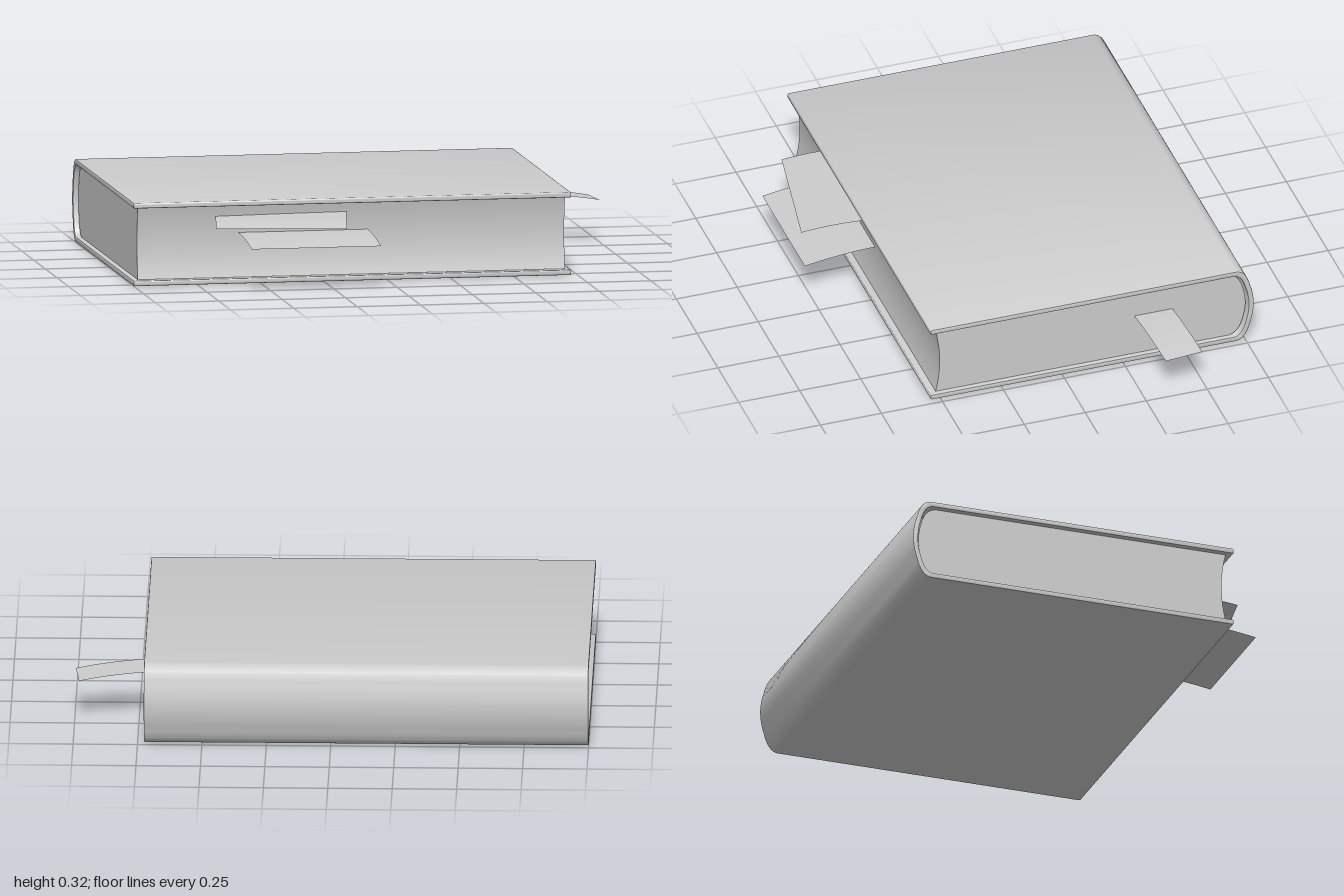
import * as THREE from 'three';
import { toCreasedNormals } from 'three/addons/utils/BufferGeometryUtils.js';

const grey = new THREE.MeshStandardMaterial({ color: 0xcccccc });
grey.name = 'plain grey';
grey.side = THREE.DoubleSide;

// Extrude a side profile (u = -z, y) along x between two ends
function extrudeAlongX(name, shape, x0, x1, bevel) {
  const geo = new THREE.ExtrudeGeometry(shape, {
    depth: x1 - x0 - 2 * bevel,
    curveSegments: 14,
    bevelEnabled: bevel > 0,
    bevelThickness: bevel,
    bevelSize: bevel,
    bevelOffset: -bevel,
    bevelSegments: 2,
  });
  geo.rotateY(Math.PI / 2);
  geo.translate(x0 + bevel, 0, 0);
  const mesh = new THREE.Mesh(toCreasedNormals(geo, 0.5), grey);
  mesh.name = name;
  return mesh;
}

// Thin sheet leaving the pages at (x, z) and drooping from y0 to y1 at its tip
function sheet(name, width, length, x, z, angle, y0, y1) {
  const geo = new THREE.PlaneGeometry(width, length, 1, 14);
  geo.rotateX(-Math.PI / 2);
  geo.translate(0, 0, length / 2);
  const pos = geo.attributes.position;
  for (let i = 0; i < pos.count; i++) {
    const t = pos.getZ(i) / length;
    pos.setY(i, y0 + (y1 - y0) * t * t);
  }
  geo.computeVertexNormals();
  const mesh = new THREE.Mesh(geo, grey);
  mesh.name = name;
  mesh.position.set(x, 0, z);
  mesh.rotation.y = angle;
  return mesh;
}

// Wrap-around cover with a rounded spine and softened fore edges
function coverShape() {
  const s = new THREE.Shape();
  s.moveTo(-0.532, 0);
  s.lineTo(0.71, 0);
  s.quadraticCurveTo(0.752, 0, 0.77, 0.075);
  s.quadraticCurveTo(0.8, 0.1625, 0.77, 0.25);
  s.quadraticCurveTo(0.752, 0.325, 0.71, 0.325);
  s.lineTo(-0.532, 0.325);
  s.quadraticCurveTo(-0.54, 0.325, -0.54, 0.317);
  s.lineTo(-0.54, 0.31);
  s.quadraticCurveTo(-0.54, 0.304, -0.534, 0.304);
  s.lineTo(0.7, 0.304);
  s.quadraticCurveTo(0.735, 0.304, 0.75, 0.245);
  s.quadraticCurveTo(0.778, 0.1625, 0.75, 0.08);
  s.quadraticCurveTo(0.735, 0.021, 0.7, 0.021);
  s.lineTo(-0.534, 0.021);
  s.quadraticCurveTo(-0.54, 0.021, -0.54, 0.015);
  s.lineTo(-0.54, 0.008);
  s.quadraticCurveTo(-0.54, 0, -0.532, 0);
  return s;
}

// Page block: hollow fore edge, rounded back
function pagesShape() {
  const s = new THREE.Shape();
  s.moveTo(-0.513, 0.022);
  s.lineTo(0.69, 0.022);
  s.quadraticCurveTo(0.73, 0.03, 0.745, 0.09);
  s.quadraticCurveTo(0.768, 0.1625, 0.745, 0.235);
  s.quadraticCurveTo(0.73, 0.295, 0.69, 0.302);
  s.lineTo(-0.513, 0.302);
  s.quadraticCurveTo(-0.479, 0.162, -0.513, 0.022);
  return s;
}

export function createModel() {
  const book = new THREE.Group();
  book.name = 'book';
  book.add(
    extrudeAlongX('cover', coverShape(), -1, 0.725, 0.004),
    extrudeAlongX('pages', pagesShape(), -0.98, 0.705, 0),
    sheet('upperLooseSheet', 0.508, 0.3, -0.397, 0.415, -0.177, 0.268, 0.235),
    sheet('lowerLooseSheet', 0.51, 0.32, -0.325, 0.465, 0, 0.195, 0.168),
    sheet('bookmark', 0.156, 0.32, 0.672, -0.376, Math.PI / 2 + 0.1, 0.197, 0.167),
  );
  return book;
}
